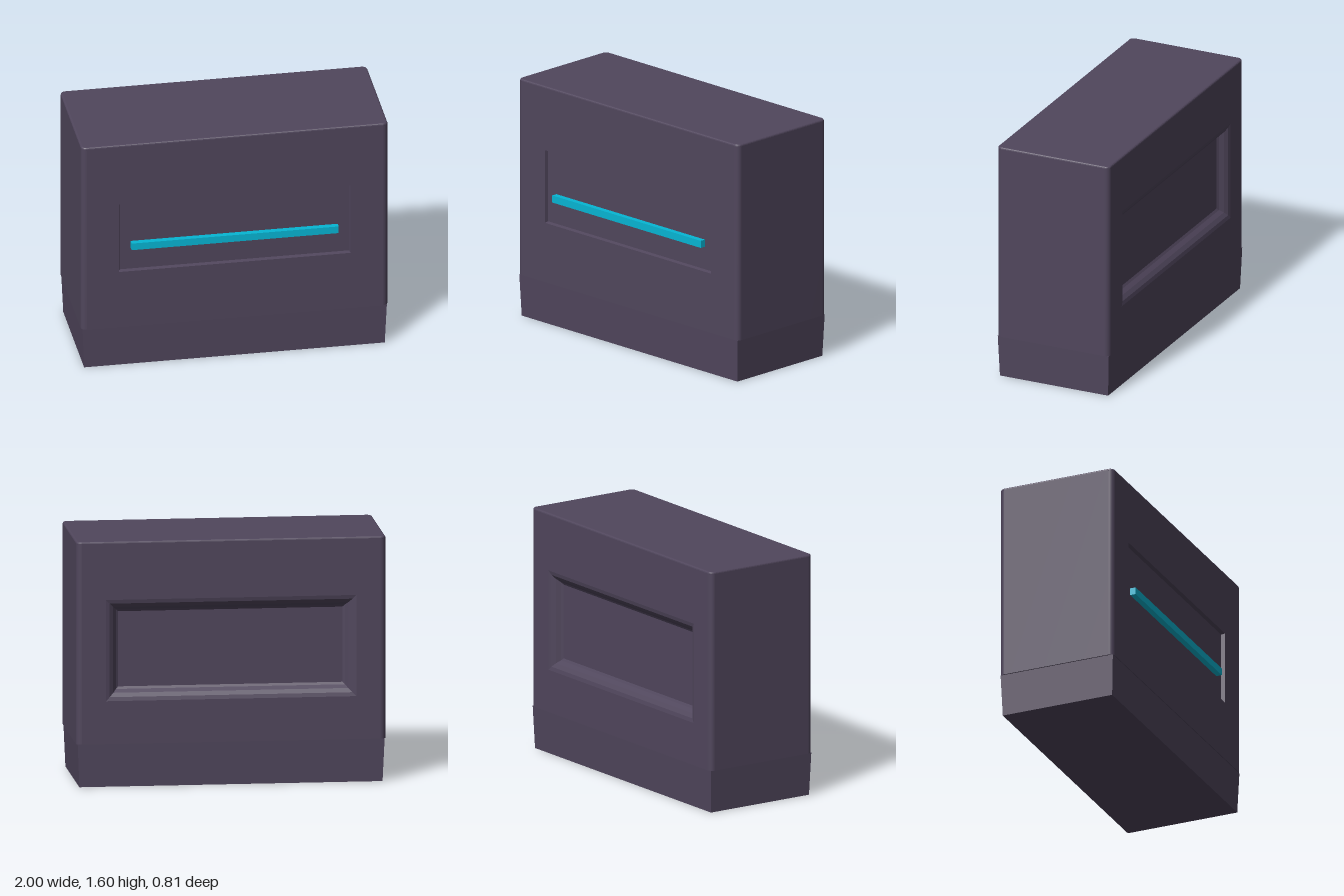
import * as THREE from 'three';

const W = 1, FRONT = 0.395, BACK = -0.405, Y0 = 0.28, Y1 = 1.6, R = 0.035, BEVEL = 0.012;

// Surface through a list of point rings, each with the same number of points
function loft(rings, closed, smooth) {
  const n = rings[0].length, index = [];
  for (let r = 0; r < rings.length - 1; r++) {
    for (let i = 0; i < (closed ? n : n - 1); i++) {
      const j = (i + 1) % n, a = r * n + i, b = r * n + j;
      index.push(a, b, b + n, a, b + n, a + n);
    }
  }
  let g = new THREE.BufferGeometry();
  g.setAttribute('position', new THREE.Float32BufferAttribute(rings.flat(2), 3));
  g.setIndex(index);
  if (!smooth) g = g.toNonIndexed();
  g.computeVertexNormals();
  return g;
}

const rect = (x, y0, y1, z) => [[-x, y0, z], [x, y0, z], [x, y1, z], [-x, y1, z]];

export function createModel() {
  const model = new THREE.Group();
  const shell = new THREE.MeshStandardMaterial({ color: 0x50465c });
  shell.name = 'dark plum shell';
  const glow = new THREE.MeshStandardMaterial({ color: 0x06b6d4 });
  glow.name = 'cyan strip';

  const add = (parent, name, geometry, material = shell) => {
    const mesh = new THREE.Mesh(geometry, material);
    mesh.name = name;
    parent.add(mesh);
    return mesh;
  };

  // Flat panel facing +z with a recess; profile lists [inset, depth] steps
  function recessedPanel(name, x, y0, y1, profile) {
    const group = new THREE.Group();
    group.name = name;
    const toPath = (pts, Type) => new Type(pts.map(p => new THREE.Vector2(p[0], p[1])));
    const face = toPath(rect(W - R, Y0, Y1 - BEVEL, 0), THREE.Shape);
    face.holes.push(toPath(rect(x, y0, y1, 0), THREE.Path));
    add(group, name + 'Face', new THREE.ShapeGeometry(face));
    const rings = profile.map(([s, d]) => rect(x - s, y0 + s, y1 - s, -d));
    add(group, name + 'RecessWalls', loft(rings, true, false));
    const [s, d] = profile[profile.length - 1];
    const floor = add(group, name + 'RecessFloor', new THREE.PlaneGeometry(2 * (x - s), y1 - y0 - 2 * s));
    floor.position.set(0, (y0 + y1) / 2, -d);
    model.add(group);
    return group;
  }

  recessedPanel('frontPanel', 0.755, 0.68, 1.17, [[0, 0], [0.006, 0.025]]).position.z = FRONT;
  const back = recessedPanel('backPanel', 0.81, 0.56, 1.22,
    [[0, 0], [0.025, 0.006], [0.05, 0.025], [0.07, 0.05], [0.085, 0.06]]);
  back.position.z = BACK;
  back.rotation.y = Math.PI;

  // Side walls with rounded vertical edges
  for (const side of [1, -1]) {
    const plan = [];
    for (const [cz, start] of [[FRONT - R, Math.PI / 2], [BACK + R, 0]]) {
      for (let i = 0; i <= 6; i++) {
        const a = start - (i / 6) * Math.PI / 2;
        plan.push([side * (W - R + R * Math.cos(a)), cz + R * Math.sin(a)]);
      }
    }
    if (side < 0) plan.reverse();
    const rings = [Y0, Y1 - BEVEL].map(y => plan.map(([x, z]) => [x, y, z]));
    add(model, side > 0 ? 'leftWall' : 'rightWall', loft(rings, false, true));
  }

  // Top lid and underside, rounded in plan
  const plan = new THREE.Shape();
  const hx = W, hz = (FRONT - BACK) / 2;
  plan.moveTo(-hx + R, -hz);
  plan.lineTo(hx - R, -hz).absarc(hx - R, -hz + R, R, -Math.PI / 2, 0, false);
  plan.absarc(hx - R, hz - R, R, 0, Math.PI / 2, false);
  plan.absarc(-hx + R, hz - R, R, Math.PI / 2, Math.PI, false);
  plan.absarc(-hx + R, -hz + R, R, Math.PI, Math.PI * 1.5, false);
  const lid = add(model, 'topLid', new THREE.ExtrudeGeometry(plan, {
    depth: 0.002, bevelSize: BEVEL, bevelThickness: BEVEL, bevelOffset: -BEVEL, bevelSegments: 3, curveSegments: 6,
  }));
  lid.rotation.x = -Math.PI / 2;
  lid.position.set(0, Y1 - BEVEL - 0.002, (FRONT + BACK) / 2);
  const under = add(model, 'underside', new THREE.ShapeGeometry(plan, 6));
  under.rotation.x = Math.PI / 2;
  under.position.set(0, Y0, (FRONT + BACK) / 2);

  // Plinth, slightly narrower towards the floor
  const plinth = new THREE.BoxGeometry(1.984, Y0, 0.79);
  const p = plinth.attributes.position;
  for (let i = 0; i < p.count; i++) {
    if (p.getY(i) < 0) p.setXYZ(i, Math.sign(p.getX(i)) * 0.98, p.getY(i), Math.sign(p.getZ(i)) * 0.385);
  }
  plinth.computeVertexNormals();
  add(model, 'plinth', plinth).position.set(0, Y0 / 2, (FRONT + BACK) / 2);

  // Light strip standing in the front recess
  add(model, 'lightStrip', new THREE.BoxGeometry(1.35, 0.048, 0.04), glow).position.set(0, 0.862, 0.388);

  return model;
}
